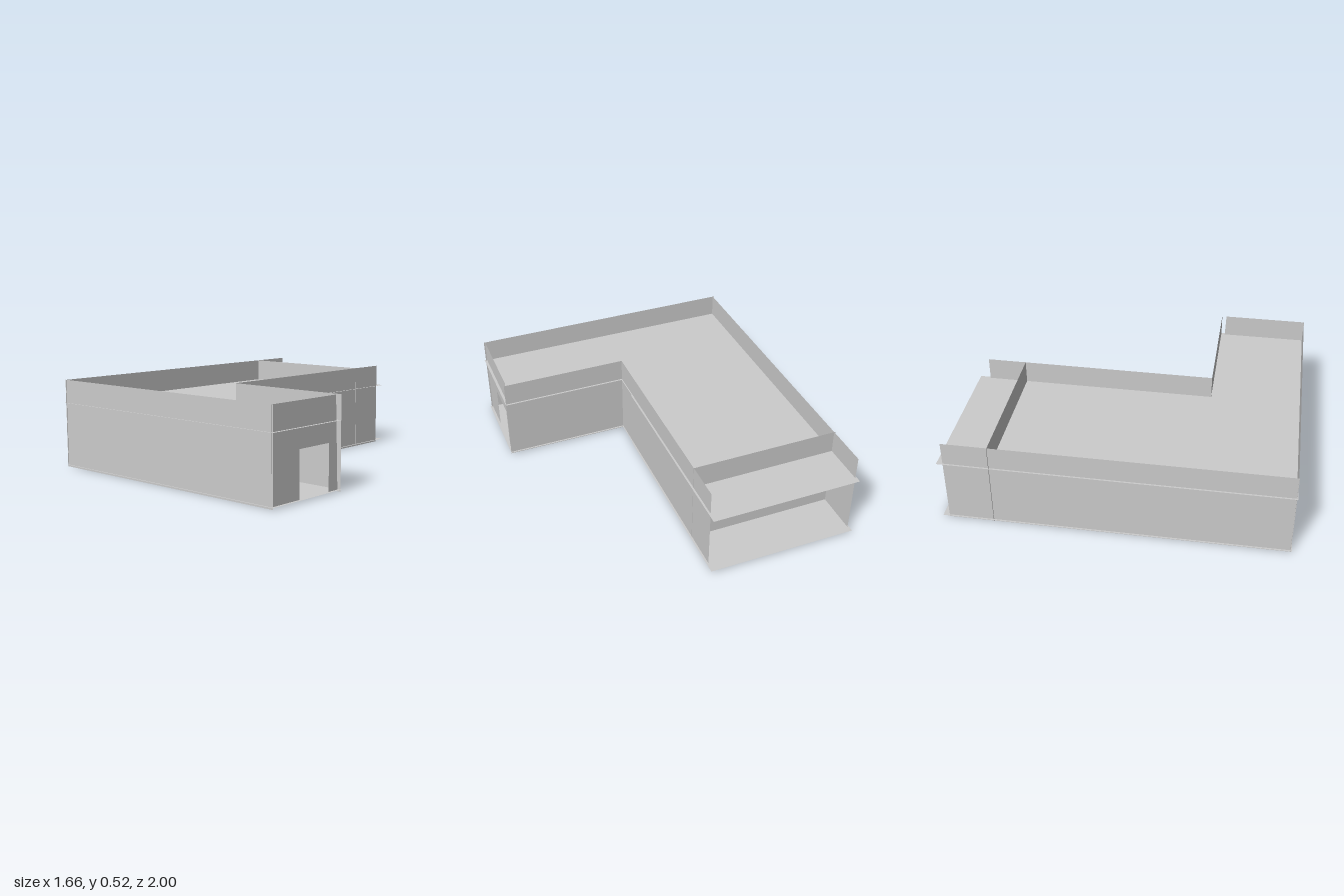
import * as THREE from 'three';

const H = 0.525; // top of the parapets
const mat = new THREE.MeshStandardMaterial({ color: 0xcccccc, side: THREE.DoubleSide, flatShading: true });

const outline = (pts) => new THREE.Shape(pts.map(([a, b]) => new THREE.Vector2(a, b)));

function sheet(name, pts) {
  const mesh = new THREE.Mesh(new THREE.ShapeGeometry(outline(pts)), mat);
  mesh.name = name;
  return mesh;
}

const rect = (a0, a1, b0, b1) => [[a0, b0], [a1, b0], [a1, b1], [a0, b1]];

// thin wall facing z, spanning x0..x1
function wallAlongX(name, x0, x1, z) {
  const m = sheet(name, rect(x0, x1, 0, H));
  m.position.z = z;
  return m;
}

// thin wall facing x; outline points are (z, y)
function wallAlongZ(name, x, pts) {
  const m = sheet(name, pts);
  m.rotation.y = -Math.PI / 2;
  m.position.x = x;
  return m;
}

// horizontal sheet; outline points are (x, z)
function slab(name, y, pts) {
  const m = sheet(name, pts);
  m.rotation.x = Math.PI / 2;
  m.position.y = y;
  return m;
}

export function createModel() {
  const g = new THREE.Group();
  g.name = 'building';

  // L-shaped floor and roof, reaching slightly past the walls
  const plan = [
    [-0.832, -1], [0.069, -1], [0.069, 0.26], [0.064, 0.26], [0.064, 0.444],
    [0.828, 0.444], [0.828, 1], [-0.832, 1],
  ];
  g.add(slab('floor', 0.012, plan), slab('roof', 0.387, plan));

  // outer walls, rising past the roof as parapets
  g.add(
    wallAlongX('frontWall', -0.83, 0.82, 0.992),
    wallAlongX('wingBackWall', 0.058, 0.826, 0.455),
    wallAlongX('recessedBackWall', -0.83, 0.06, -0.7),
    wallAlongZ('rightSideWall', -0.822, rect(-0.965, 0.995, 0, H)),
    wallAlongZ('leftSideWall', 0.058, rect(-0.935, 0.455, 0, H)),
  );

  // end wall of the wing, notched by the doorway
  g.add(wallAlongZ('doorWall', 0.812, [
    [0.465, 0.012], [0.54, 0.012], [0.54, 0.275], [0.78, 0.275],
    [0.78, 0.012], [0.995, 0.012], [0.995, H], [0.483, H],
  ]));

  return g;
}
